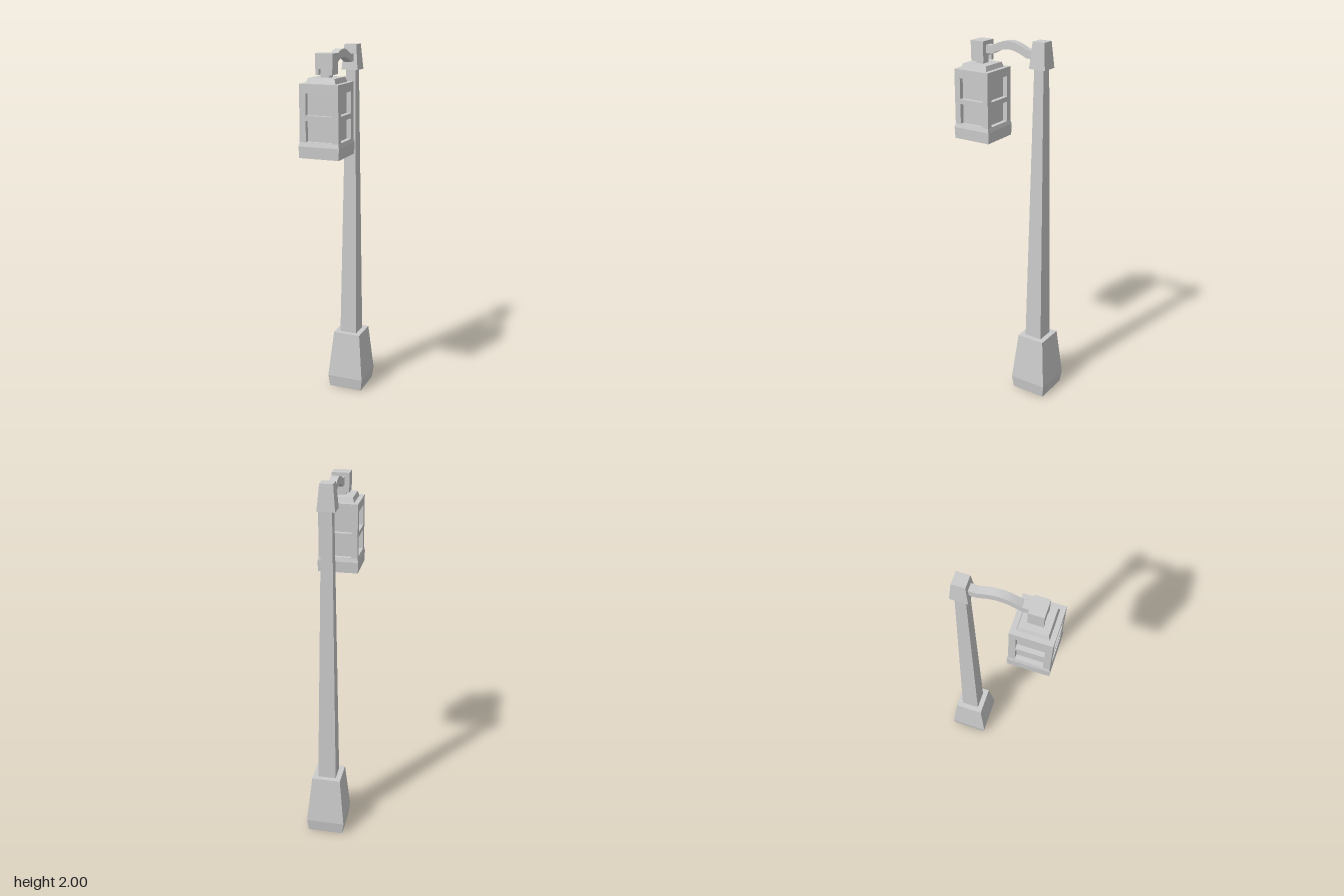
import * as THREE from 'three';
import { toCreasedNormals } from 'three/addons/utils/BufferGeometryUtils.js';

const POST_Z = -0.184;
const LAMP_Z = 0.178;

export function createModel() {
  const model = new THREE.Group();
  model.name = 'streetLamp';
  const flat = new THREE.MeshStandardMaterial({ color: 0xcccccc, flatShading: true });
  const smooth = new THREE.MeshStandardMaterial({ color: 0xcccccc });

  const add = (parent, name, geometry, x, y, z, material = flat) => {
    const mesh = new THREE.Mesh(geometry, material);
    mesh.name = name;
    mesh.position.set(x, y, z);
    parent.add(mesh);
    return mesh;
  };

  // Closed square solid from [half width, height] pairs, bottom to top
  const squareTurned = (profile) => {
    const closed = [[0, profile[0][1]], ...profile, [0, profile[profile.length - 1][1]]];
    const points = closed.map(([half, y]) => new THREE.Vector2(half * Math.SQRT2, y));
    return new THREE.LatheGeometry(points, 4, Math.PI / 4);
  };

  // Post
  const post = new THREE.Group();
  post.name = 'post';
  post.position.z = POST_Z;
  model.add(post);
  add(post, 'postBase', squareTurned([[0.098, 0], [0.106, 0.07], [0.079, 0.342]]), 0, 0, 0);
  add(post, 'postShaft', squareTurned([[0.05, 0.34], [0.027, 1.88]]), 0, 0, 0);
  add(post, 'postCap', squareTurned([[0.046, 1.866], [0.034, 2]]), 0, 0, 0);

  // Arched arm: a flat bar with a raised middle, drawn in z and y
  const centreLine = [[-0.16, 1.931]];
  for (let i = 0; i <= 16; i++) {
    const z = -0.105 + (0.21 * i) / 16;
    centreLine.push([z, 1.931 + 0.033 * Math.cos((Math.PI * z) / 0.21)]);
  }
  centreLine.push([0.145, 1.931]);
  const lower = centreLine.map(([z, y]) => new THREE.Vector2(z, y - 0.021));
  const upper = centreLine.map(([z, y]) => new THREE.Vector2(z, y + 0.021)).reverse();
  const armGeometry = new THREE.ExtrudeGeometry(new THREE.Shape([...lower, ...upper]), { depth: 0.041, bevelEnabled: false });
  armGeometry.translate(0, 0, -0.0205).rotateY(-Math.PI / 2);
  add(model, 'arm', toCreasedNormals(armGeometry, 0.35), 0, 0, 0, smooth);

  // Hanger block with two cheeks around the lantern stem
  const hanger = new THREE.Group();
  hanger.name = 'hanger';
  hanger.position.z = LAMP_Z;
  model.add(hanger);
  add(hanger, 'hangerBlock', new THREE.BoxGeometry(0.094, 0.076, 0.077), 0, 1.935, 0);
  for (const side of [-1, 1]) {
    add(hanger, 'hangerCheek', new THREE.BoxGeometry(0.018, 0.03, 0.077), side * 0.036, 1.883, 0);
  }
  add(hanger, 'lanternStem', new THREE.BoxGeometry(0.05, 0.06, 0.042), 0, 1.875, 0);

  // Lantern
  const lantern = new THREE.Group();
  lantern.name = 'lantern';
  lantern.position.z = LAMP_Z;
  model.add(lantern);
  add(lantern, 'lanternRoof', squareTurned([[0.08, 1.828], [0.072, 1.854]]), 0, 0, 0);
  add(lantern, 'lanternBase', squareTurned([[0.108, 1.455], [0.11, 1.515], [0.105, 1.537]]), 0, 0, 0);
  add(lantern, 'lanternGlass', new THREE.BoxGeometry(0.16, 0.29, 0.16), 0, 1.681, 0);

  // Frame with two windows on each of the four sides
  const framePanel = (half) => {
    const bottom = 1.53, top = 1.828;
    const rectangle = (path, w, y0, y1) =>
      path.moveTo(-w, y0).lineTo(w, y0).lineTo(w, y1).lineTo(-w, y1).closePath();
    const shape = rectangle(new THREE.Shape(), half, bottom, top);
    for (const [y0, y1] of [[1.538, 1.645], [1.671, 1.782]]) {
      shape.holes.push(rectangle(new THREE.Path(), 0.071, y0, y1));
    }
    return new THREE.ExtrudeGeometry(shape, { depth: 0.025, bevelEnabled: false }).translate(0, 0, 0.08);
  };
  for (let i = 0; i < 4; i++) {
    const panel = add(lantern, 'lanternFrame', framePanel(i % 2 ? 0.08 : 0.105), 0, 0, 0);
    panel.rotation.y = (i * Math.PI) / 2;
  }
  return model;
}
